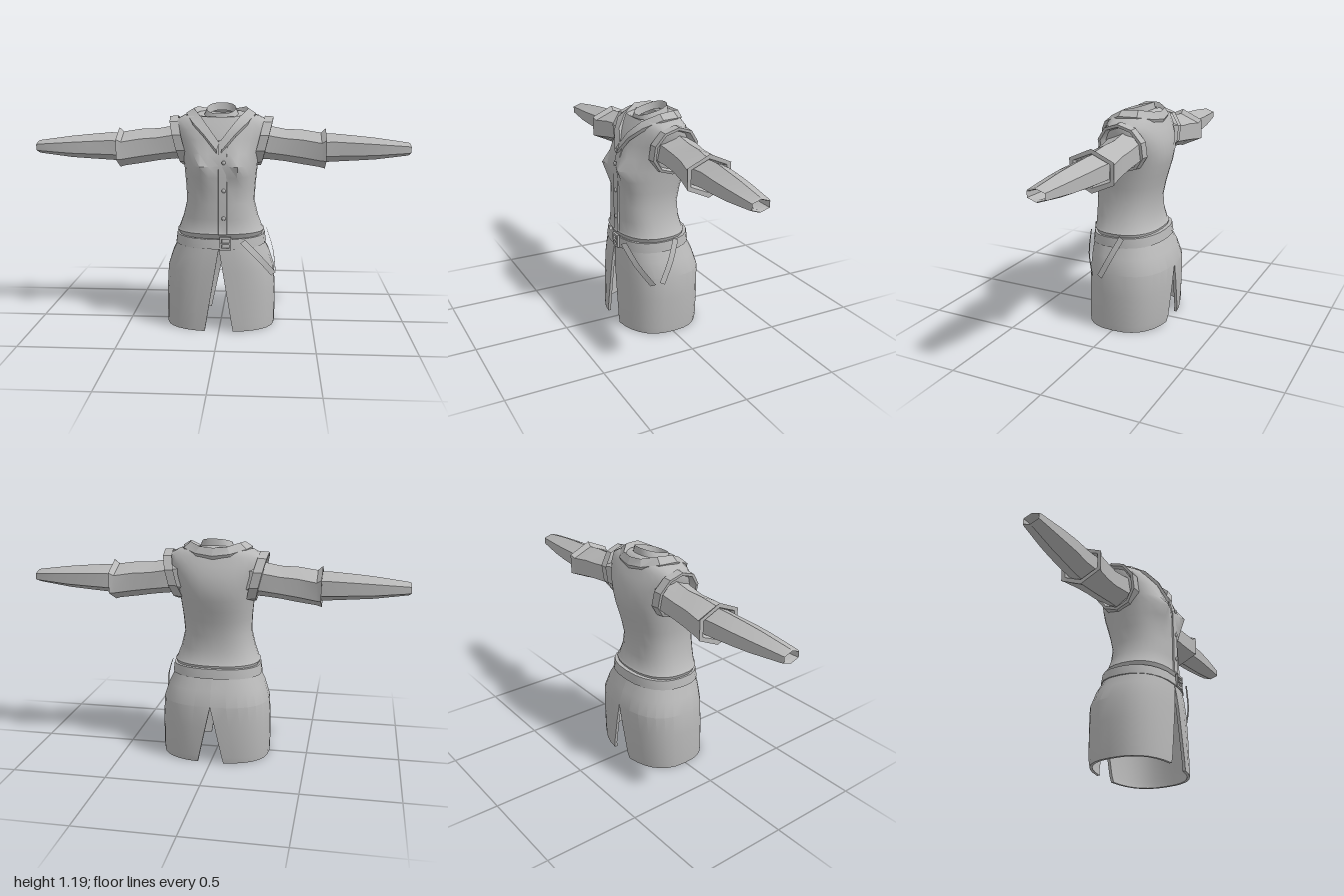
import * as THREE from 'three';
import { toCreasedNormals } from 'three/addons/utils/BufferGeometryUtils.js';

const cloth = new THREE.MeshStandardMaterial({ color: 0xb8b8b8, side: THREE.DoubleSide });
cloth.name = 'grey cloth';

function add(group, name, geometry) {
  const mesh = new THREE.Mesh(geometry, cloth);
  mesh.name = name;
  group.add(mesh);
  return mesh;
}

// Skin a surface over rows of [x, y, z] points
function loft(rows, closed = true, crease = 0.6, flip = false) {
  const n = rows[0].length, index = [];
  for (let r = 0; r < rows.length - 1; r++) {
    for (let i = 0; i < (closed ? n : n - 1); i++) {
      const a = r * n + i, b = r * n + (i + 1) % n, c = a + n, d = b + n;
      if (flip) index.push(a, c, b, b, c, d);
      else index.push(a, b, c, b, d, c);
    }
  }
  const g = new THREE.BufferGeometry();
  g.setAttribute('position', new THREE.Float32BufferAttribute(rows.flat(2), 3));
  g.setIndex(index);
  return toCreasedNormals(g, crease);
}

const power = (v, e) => Math.sign(v) * Math.abs(v) ** e;

// Rounded body outline: angle 0 faces front, +x at a quarter turn
function bodyPoint(a, rx, zf, zb, e = 0.85) {
  const mid = (zf + zb) / 2, rz = (zf - zb) / 2;
  return [rx * power(Math.sin(a), e), mid + rz * power(Math.cos(a), e)];
}

// Vest and neck rows: front y, back y, half width, front z, back z
const torsoRows = [
  [0.48, 0.48, 0.215, 0.18, -0.155], [0.525, 0.525, 0.233, 0.203, -0.163],
  [0.535, 0.535, 0.224, 0.197, -0.155], [0.6, 0.6, 0.2, 0.197, -0.14],
  [0.68, 0.68, 0.181, 0.198, -0.138], [0.76, 0.76, 0.185, 0.196, -0.155],
  [0.82, 0.82, 0.191, 0.195, -0.172], [0.88, 0.88, 0.197, 0.194, -0.19],
  [0.94, 0.94, 0.206, 0.18, -0.2], [1.01, 1.01, 0.232, 0.155, -0.19],
  [1.06, 1.06, 0.252, 0.13, -0.17], [1.1, 1.1, 0.252, 0.105, -0.15],
  [1.125, 1.13, 0.2, 0.09, -0.135], [1.125, 1.15, 0.13, 0.085, -0.12],
  [1.115, 1.155, 0.09, 0.078, -0.1], [1.14, 1.19, 0.077, 0.072, -0.095],
  [1.1, 1.15, 0.068, 0.06, -0.085],
];

function buildTorso(group) {
  const n = 28;
  const rows = torsoRows.map(([yf, yb, rx, zf, zb]) => Array.from({ length: n }, (_, i) => {
    const a = i / n * Math.PI * 2;
    let [x, z] = bodyPoint(a, rx, zf, zb);
    const y = yb + (yf - yb) * (1 + Math.cos(a)) / 2;
    // chest shaping
    if (z > 0) z += 0.05 * Math.exp(-(((Math.abs(x) - 0.1) / 0.055) ** 2) - ((y - 0.87) / 0.06) ** 2);
    return [x, y, z];
  }));
  add(group, 'vest', loft(rows, true, 0.8));

  // Front closing edge and buttons
  const edge = torsoRows.slice(1, 10).map(([y, , , z]) => [y, z + 0.006]);
  add(group, 'placket', loft([
    edge.map(([y, z]) => [-0.004, y, z - 0.012]),
    edge.map(([y, z]) => [-0.002, y, z + 0.002]),
    edge.map(([y, z]) => [0.04, y, z]),
    edge.map(([y, z]) => [0.044, y, z - 0.012]),
  ], false, 0.6, true));
  for (const y of [0.61, 0.755, 0.9]) {
    const button = add(group, 'button', new THREE.SphereGeometry(0.011, 8, 6));
    button.position.set(0.025, y, 0.206);
    button.scale.z = 0.7;
  }

  // Folded collar running down to the neckline point
  const inner = [[0, 1, 0.168], [0.05, 1.065, 0.145], [0.1, 1.125, 0.09], [0.145, 1.165, 0.01],
    [0.13, 1.17, -0.075], [0.07, 1.155, -0.135], [0, 1.15, -0.145]];
  const outer = [[0.012, 0.96, 0.19], [0.085, 1.045, 0.158], [0.145, 1.1, 0.108], [0.185, 1.14, 0.01],
    [0.165, 1.138, -0.085], [0.09, 1.12, -0.148], [0, 1.11, -0.163]];
  for (const s of [1, -1]) {
    const side = (pts, f = 1, dy = 0, dz = 1) => pts.map(([x, y, z]) => [s * x * f, y + dy, z * dz]);
    add(group, 'collar', loft([
      side(outer, 0.97, -0.018, 0.95), side(outer), side(inner),
      side(inner, 0.88, -0.025, 0.88),
    ], false, 0.5, s < 0));
  }
}

// Six-sided sleeve rows: x, top, bottom, front z, back z
function sleeve(s, data) {
  const rows = data.map(([x, top, bottom, zf, zb]) => Array.from({ length: 6 }, (_, i) => {
    const a = i / 6 * Math.PI * 2;
    return [s * x, (top + bottom) / 2 + (top - bottom) / 2 * Math.cos(a),
      (zf + zb) / 2 + (zf - zb) / 2 * Math.sin(a) / 0.866];
  }));
  return loft(rows, true, 0.6, s > 0);
}

function buildArm(s) {
  const arm = new THREE.Group();
  arm.name = s > 0 ? 'leftSleeve' : 'rightSleeve';
  add(arm, 'upperSleeve', sleeve(s, [
    [0.16, 1.09, 0.89, 0.055, -0.13], [0.25, 1.07, 0.89, 0.045, -0.138],
    [0.34, 1.053, 0.88, 0.04, -0.135], [0.43, 1.05, 0.865, 0.05, -0.138],
    [0.53, 1.035, 0.85, 0.07, -0.146], [0.555, 1.058, 0.842, 0.08, -0.157],
    [0.555, 1.035, 0.868, 0.06, -0.135], [0.52, 1.02, 0.885, 0.045, -0.115],
  ]));
  add(arm, 'forearmSleeve', sleeve(s, [
    [0.5, 1.028, 0.875, 0.045, -0.117], [0.6, 1.03, 0.88, 0.035, -0.116],
    [0.72, 1.02, 0.888, 0.04, -0.107], [0.82, 1.01, 0.895, 0.038, -0.095],
    [0.99, 0.987, 0.918, 0.028, -0.07], [1, 0.982, 0.923, 0.024, -0.066],
    [0.98, 0.975, 0.93, 0.017, -0.06], [0.8, 0.99, 0.915, 0.02, -0.08],
  ]));
  // Raised rim around the arm opening
  const rim = [[1.07, -0.035], [1.04, 0.012], [0.92, 0.014], [0.8, -0.03]].map(([k, dx]) =>
    Array.from({ length: 10 }, (_, i) => {
      const a = i / 10 * Math.PI * 2;
      const y = 0.99 + 0.125 * k * Math.cos(a);
      return [s * (0.2 + 0.25 * (y - 0.86) + dx), y, -0.03 + 0.122 * k * Math.sin(a)];
    }));
  add(arm, 'armholeRim', loft(rim, true, 0.6, s > 0));
  return arm;
}

// One half of the skirt, with sloping slits at the front and back
function buildSkirt(group, s) {
  const levels = [[0, 0.293, 0.22, -0.222], [0.035, 0.295, 0.221, -0.228], [0.2, 0.295, 0.217, -0.232],
    [0.32, 0.288, 0.214, -0.233], [0.4, 0.262, 0.209, -0.208], [0.45, 0.237, 0.203, -0.184],
    [0.5, 0.222, 0.196, -0.165]];
  const n = 14, e = 0.8;
  const row = ([y, rx, zf, zb], t) => {
    const start = (w) => Math.asin((Math.max(w, 0) / rx) ** (1 / e));
    const a0 = start(0.075 * (1 - y / 0.45)), a1 = Math.PI - start(0.07 * (1 - y / 0.32));
    return Array.from({ length: n + 1 }, (_, i) => {
      const a = a0 + (a1 - a0) * i / n;
      const [x, z] = bodyPoint(a, rx, zf, zb, e);
      return [s * x * (1 - t * Math.sin(a) / rx), y, z - t * Math.cos(a)];
    });
  };
  const rows = levels.map((l) => [...row(l, 0), ...row(l, 0.016).reverse()]);
  add(group, 'skirtHalf', loft(rows, true, 0.35, s < 0));
  add(group, 'skirtHem', loft([row(levels[0], 0.016), row(levels[0], 0)], false, 0.5, s < 0));
}

function buildBelt(group) {
  const ring = (y, grow) => Array.from({ length: 24 }, (_, i) => {
    const a = i / 24 * Math.PI * 2;
    const [x, z] = bodyPoint(a, 0.237 + grow, 0.205 + grow, -0.182 - grow);
    return [x, y - 0.008 * Math.cos(a), z];
  });
  add(group, 'belt', loft([ring(0.455, -0.02), ring(0.455, 0.007), ring(0.506, 0), ring(0.506, -0.025)]));

  // Open rectangular buckle
  const frame = new THREE.Shape([[-0.03, -0.035], [0.03, -0.035], [0.03, 0.035], [-0.03, 0.035]]
    .map((p) => new THREE.Vector2(...p)));
  frame.holes.push(new THREE.Path([[-0.019, -0.024], [-0.019, 0.024], [0.019, 0.024], [0.019, -0.024]]
    .map((p) => new THREE.Vector2(...p))));
  const buckle = add(group, 'buckle', new THREE.ExtrudeGeometry(frame, { depth: 0.012, bevelEnabled: false }));
  buckle.position.set(0.035, 0.478, 0.206);
  const pin = add(group, 'bucklePin', new THREE.BoxGeometry(0.05, 0.009, 0.01));
  pin.position.set(0.035, 0.478, 0.218);

  // Loose strap hanging in a loop at the left hip
  const strap = (name, points, [wx, wy, wz]) => {
    const path = new THREE.CatmullRomCurve3(points.map((p) => new THREE.Vector3(...p))).getPoints(6);
    add(group, name, loft([
      path.map((p) => [p.x - wx, p.y - wy, p.z - wz]),
      path.map((p) => [p.x + wx, p.y + wy, p.z + wz]),
    ], false));
  };
  strap('frontStrap', [[0.125, 0.49, 0.21], [0.215, 0.39, 0.176], [0.287, 0.295, 0.118]], [0.012, 0.007, -0.01]);
  strap('sideStrap', [[0.245, 0.515, -0.035], [0.282, 0.41, 0.015], [0.297, 0.3, 0.07]], [-0.002, 0.007, 0.014]);
}

export function createModel() {
  const model = new THREE.Group();
  model.name = 'beltedTunic';
  buildTorso(model);
  for (const s of [1, -1]) {
    model.add(buildArm(s));
    buildSkirt(model, s);
  }
  buildBelt(model);
  return model;
}
